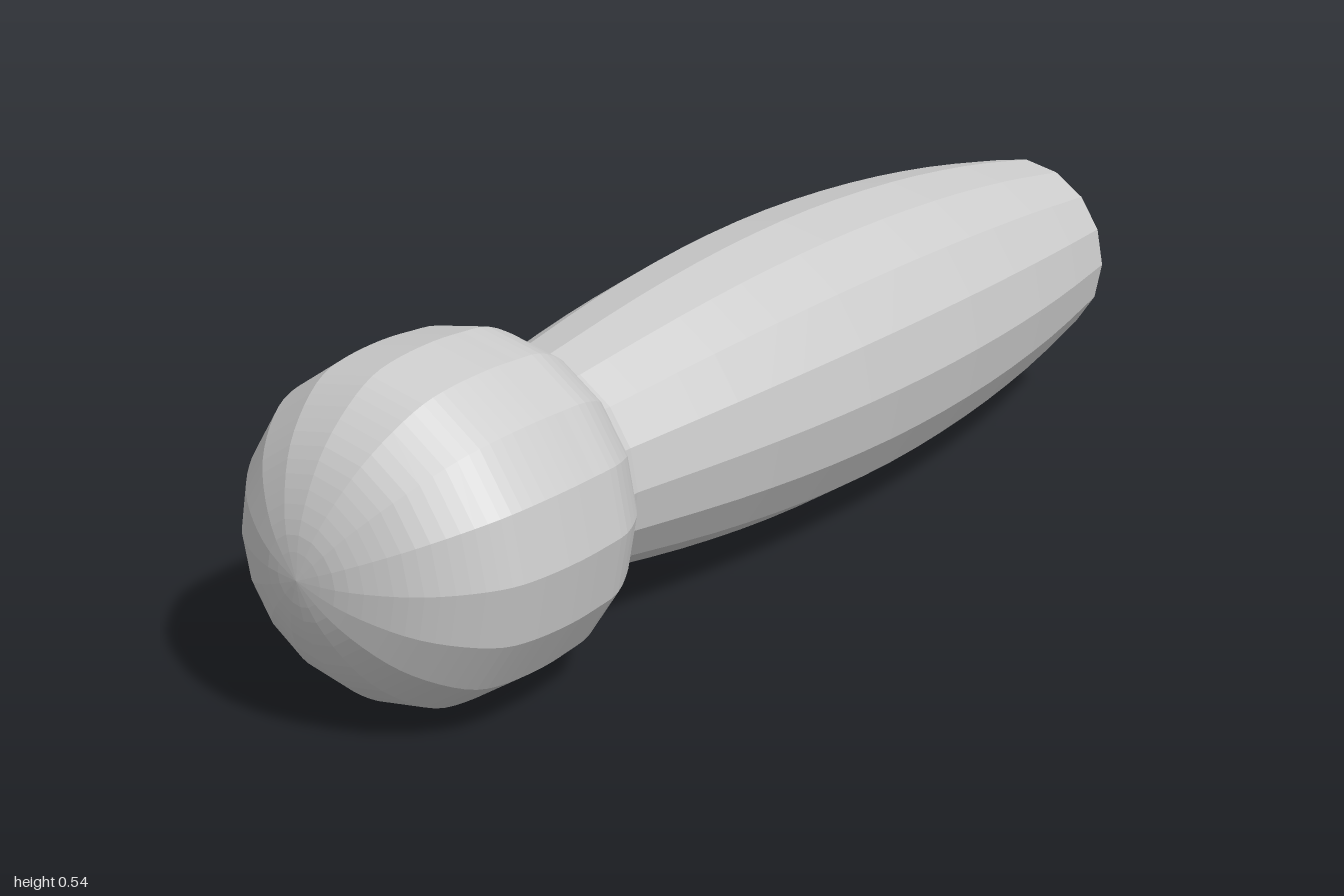
import * as THREE from 'three';

const SIDES = 16;
const AXIS_Y = 0.27;

// Turned part: [radius, z] pairs from back to front, spun about the long axis
function turned(name, points) {
  const geometry = new THREE.LatheGeometry(points.map(([r, z]) => new THREE.Vector2(r, z)), SIDES);
  geometry.rotateX(Math.PI / 2);
  const material = new THREE.MeshStandardMaterial({ color: 0xcccccc, flatShading: true });
  const mesh = new THREE.Mesh(geometry, material);
  mesh.name = name;
  mesh.position.y = AXIS_Y;
  return mesh;
}

// Smooth profile through a few control points
function smooth(points, divisions) {
  const curve = new THREE.SplineCurve(points.map(([r, z]) => new THREE.Vector2(r, z)));
  return curve.getPoints(divisions).map((p) => [Math.max(p.x, 0), p.y]);
}

export function createModel() {
  const model = new THREE.Group();
  model.name = 'turnedHandle';

  // Pointed end
  model.add(turned('tip', [[0, -1], [0.17, -0.88]]));

  // Gently swelling grip
  model.add(turned('grip', smooth([
    [0.17, -0.88], [0.206, -0.67], [0.231, -0.44], [0.241, -0.2],
    [0.233, 0.03], [0.21, 0.25], [0.175, 0.47],
  ], 18)));

  // Narrow fillet between grip and knob
  model.add(turned('neck', [
    [0.175, 0.47], [0.176, 0.485], [0.181, 0.497], [0.192, 0.506], [0.207, 0.514],
  ]));

  // Rounded knob, nearly straight in the middle with a domed front
  model.add(turned('knob', smooth([
    [0.207, 0.514], [0.23, 0.54], [0.258, 0.595], [0.265, 0.65], [0.268, 0.71], [0.264, 0.78],
    [0.252, 0.835], [0.222, 0.885], [0.178, 0.932], [0.125, 0.966], [0.065, 0.99], [0, 1],
  ], 33)));

  return model;
}
